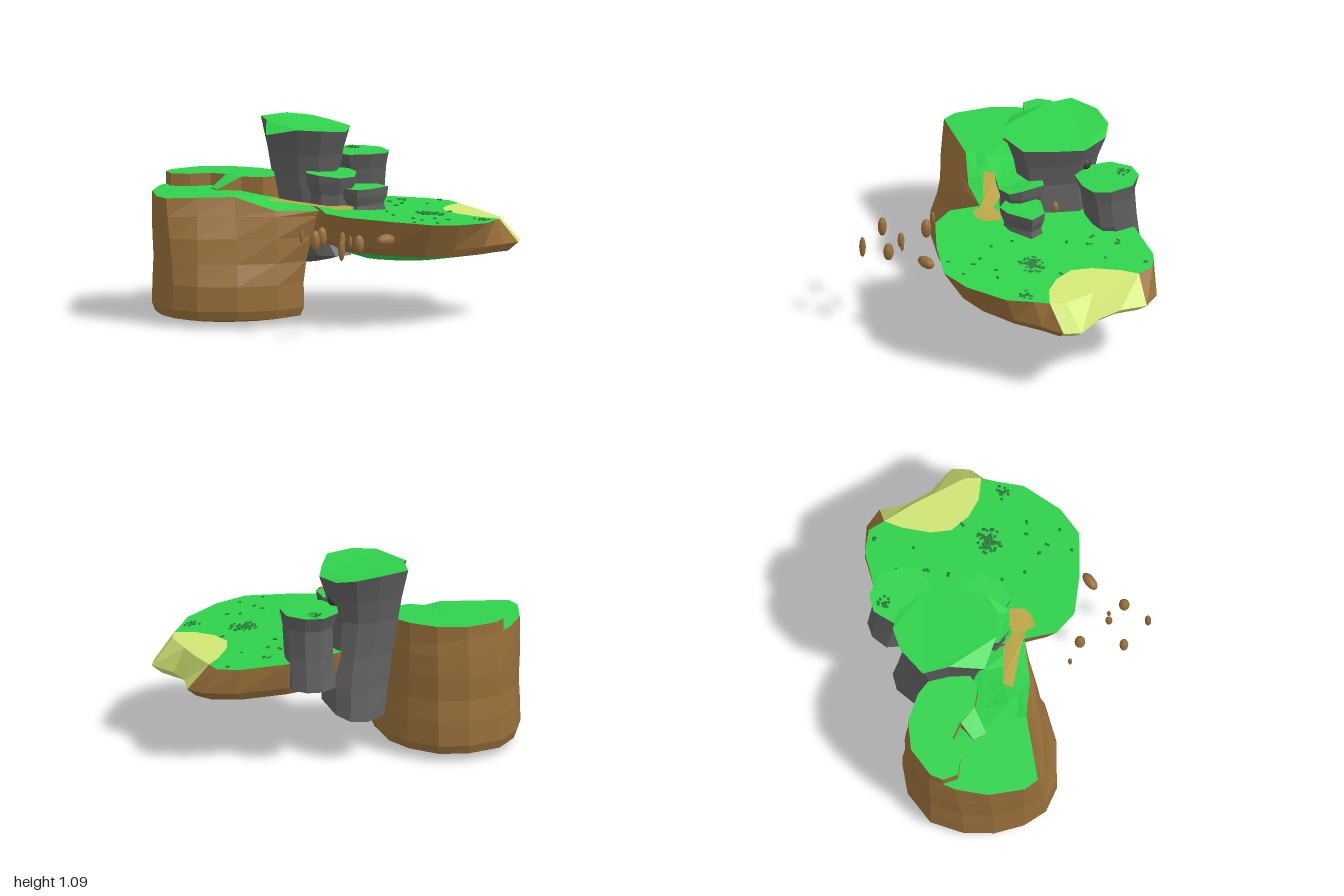
import * as THREE from 'three';
import { mergeGeometries } from 'three/addons/utils/BufferGeometryUtils.js';

const mat = (name, color) => {
  const m = new THREE.MeshStandardMaterial({ color });
  m.name = name;
  return m;
};

// Ring of [x, z] points, scaled about a centre and shifted; y is a number or a rule
const ring = (pts, y, sx = 1, sz = sx, c = [0, 0], dx = 0, dz = 0) => pts.map(([px, pz]) => {
  const x = c[0] + (px - c[0]) * sx + dx, z = c[1] + (pz - c[1]) * sz + dz;
  return new THREE.Vector3(x, typeof y === 'function' ? y(x, z) : y, z);
});

// Outline between two others
const blend = (a, b, t) => a.map(([x, z], i) => [x + (b[i][0] - x) * t, z + (b[i][1] - z) * t]);

// Faceted skin between rings, over the sides from..to
function loft(rings, from = 0, to = rings[0].length) {
  const v = [], n = rings[0].length;
  for (let j = 0; j < rings.length - 1; j++) {
    for (let i = from; i < to; i++) {
      const k = (i + 1) % n;
      const a = rings[j][i], b = rings[j][k], c = rings[j + 1][k], d = rings[j + 1][i];
      for (const p of [a, b, c, a, c, d]) v.push(p.x, p.y, p.z);
    }
  }
  const g = new THREE.BufferGeometry();
  g.setAttribute('position', new THREE.Float32BufferAttribute(v, 3));
  g.computeVertexNormals();
  return g;
}

// Flat outline laid on the height rule y(x, z)
function plate(pts, y) {
  const g = new THREE.ShapeGeometry(new THREE.Shape(pts.map(([x, z]) => new THREE.Vector2(x, -z))))
    .rotateX(-Math.PI / 2).toNonIndexed();
  const p = g.attributes.position;
  for (let i = 0; i < p.count; i++) p.setY(i, y(p.getX(i), p.getZ(i)));
  g.computeVertexNormals();
  return g;
}

export function createModel() {
  const model = new THREE.Group();
  const grass = mat('grass green', 0x30d24c), earth = mat('earth brown', 0x986f3a);
  const stone = mat('stone grey', 0x606060), beach = mat('pale green', 0xdaf07a);
  const dark = mat('dark green', 0x248038), path = mat('path tan', 0xbca648);
  const hollow = mat('dark grey', 0x3a3a3a);
  const add = (name, geo, material) => {
    const m = new THREE.Mesh(geo, material);
    m.name = name;
    model.add(m);
    return m;
  };
  const clamp = THREE.MathUtils.clamp;

  // Tall earth pillar: outlines run from the right front round the back
  const pTop = [[-0.17, 0.1], [-0.12, -0.15], [-0.15, -0.42], [-0.24, -0.6], [-0.36, -0.72], [-0.52, -0.78], [-0.7, -0.75],
    [-0.82, -0.65], [-0.93, -0.5], [-0.99, -0.3], [-0.97, -0.21], [-0.8, -0.16], [-0.6, -0.1], [-0.4, 0.02]];
  const pLow = [[-0.23, 0.04], [-0.17, -0.13], [-0.16, -0.42], [-0.22, -0.6], [-0.35, -0.76], [-0.52, -0.81], [-0.73, -0.77],
    [-0.87, -0.63], [-0.95, -0.47], [-0.98, -0.3], [-0.96, -0.15], [-0.86, -0.03], [-0.65, 0.07], [-0.42, 0.11]];
  const pc = [-0.57, -0.34];
  // Level on the left, falling towards the right and the front right corner
  const hillY = (x, z) => 0.725 - 0.075 * clamp((x + 0.5 + 1.5 * Math.max(z + 0.15, 0)) / 0.35, 0, 1);
  add('pillar', loft([
    ring(pLow, 0.005, 0, 0, pc), ring(pLow, 0.02, 0.6, 0.6, pc), ring(pLow, 0.05, 0.94, 0.94, pc),
    ring(pLow, 0.1, 0.99, 0.98, pc), ring(pLow, 0.24, 0.98, 0.98, pc), ring(blend(pLow, pTop, 0.25), 0.36, 0.97, 0.97, pc),
    ring(blend(pLow, pTop, 0.5), 0.5, 0.99, 1, pc), ring(blend(pLow, pTop, 0.8), 0.62, 1, 1.01, pc), ring(pTop, hillY),
  ]), earth);
  add('pillarGrass', loft([1, 0.75, 0.5, 0.25, 0].map((s) => ring(pTop, hillY, s, s, pc))), grass);

  // Raised ledge at the back of the pillar, with a grassy ramp up to it
  const ledge = [[-0.2, -0.3], [-0.15, -0.42], [-0.24, -0.6], [-0.36, -0.72], [-0.52, -0.78], [-0.7, -0.75], [-0.76, -0.7],
    [-0.77, -0.61], [-0.68, -0.55], [-0.56, -0.54], [-0.5, -0.47], [-0.45, -0.35], [-0.35, -0.28]];
  const ramp = [[-0.45, -0.35], [-0.5, -0.46], [-0.6, -0.43], [-0.6, -0.35]];
  const ledgeY = () => 0.795;
  const rampY = (x) => 0.73 + 0.065 * clamp((x + 0.6) / 0.1, 0, 1);
  for (const [name, pts, y] of [['ledge', ledge, ledgeY], ['ramp', ramp, rampY]]) {
    add(name, loft([ring(pts, 0.66), ring(pts, y)]), earth);
    add(name + 'Grass', plate(pts, y), grass);
  }

  // Floating platform: outlines run along the front, the beach, then the back
  const fTop = [[-0.17, 0.13], [-0.21, 0.28], [-0.15, 0.42], [0.05, 0.55], [0.28, 0.66], [0.46, 0.63], [0.68, 0.51], [0.77, 0.39],
    [0.83, 0.32], [0.87, 0.24], [0.865, 0.05], [0.86, -0.1], [0.84, -0.28],
    [0.83, -0.38], [0.72, -0.46], [0.45, -0.52], [0.15, -0.5], [-0.1, -0.35], [-0.12, -0.1]];
  const fMid = [[-0.12, 0.1], [-0.15, 0.25], [-0.08, 0.37], [0.07, 0.48], [0.28, 0.56], [0.46, 0.54], [0.68, 0.46], [0.83, 0.37],
    [0.95, 0.31], [1, 0.22], [0.93, 0.05], [0.92, -0.1], [0.96, -0.25],
    [0.9, -0.36], [0.74, -0.45], [0.45, -0.49], [0.15, -0.47], [-0.08, -0.33], [-0.1, -0.1]];
  const fc = [0.4, 0.03], B0 = 8, B1 = 12;
  const lawnY = (x) => 0.645 - 0.085 * x;
  const baseY = (x) => 0.435 - 0.055 * x;
  const base = ring(fMid, baseY, 0.9, 0.95, fc);
  const sides = [base, ring(fMid, (x) => 0.475 - 0.045 * x), ring(fTop, lawnY)];
  add('platformSide', mergeGeometries([loft(sides, 0, B0), loft(sides, B1)]), earth);
  add('beachSlope', loft(sides, B0, B1), beach);
  add('platformUnderside', loft([ring(fMid, 0.355, 0, 0, fc), ring(fMid, (x) => 0.375 - 0.02 * x, 0.55, 0.55, fc), base]), grass);
  const shore = [[0.72, 0.25], [0.65, 0.15], [0.62, 0.03], [0.66, -0.08], [0.76, -0.21]];
  add('platformGrass', plate([...fTop.slice(0, B0 + 1), ...shore, ...fTop.slice(B1)], lawnY), grass);
  add('beach', plate([...fTop.slice(B0, B1 + 1), ...[...shore].reverse()], lawnY), beach);

  // Path joining the pillar to the platform
  add('path', plate([[-0.41, -0.09], [-0.36, -0.13], [-0.16, -0.03], [-0.1, 0.06], [0.02, 0.06], [0.03, 0.12], [0, 0.18],
    [-0.05, 0.2], [-0.12, 0.19], [-0.13, 0.13], [-0.2, 0.06]],
  (x, z) => Math.max(hillY(x, z), lawnY(Math.max(x, -0.2))) + 0.012), path);

  // Stone columns: steps are [y, scale x, scale z, shift x, shift z] from the bottom up
  function column(name, pts, c, steps, topY) {
    const rings = steps.map(([y, ...s]) => ring(pts, y, s[0], s[1], c, s[2], s[3]));
    const foot = ring(pts, steps[0][0], 0, 0, c, steps[0][3], steps[0][4]);
    add(name, loft([foot, ...rings, ring(pts, topY)]), stone);
    add(name + 'Grass', plate(pts, topY), grass);
  }
  column('mainColumn', [[0.05, -0.04], [0.14, -0.2], [0.21, -0.35], [0.17, -0.52], [0.08, -0.6], [-0.06, -0.62], [-0.24, -0.57],
    [-0.27, -0.42], [-0.35, -0.24], [-0.22, -0.1], [-0.1, -0.03]], [-0.07, -0.33], [
    [(x, z) => Math.min(0.36, 0.24 + 0.3 * (z + 0.61)), 0.66, 0.95, 0.08, 0], [0.42, 0.72, 0.85, 0.06, 0], [0.6, 0.74, 0.77, 0.03, 0],
    [0.8, 0.77, 0.76, 0, 0], [0.93, 0.86, 0.84, 0, 0],
  ], (x, z) => 1.095 - 0.25 * Math.max(x, 0) - 0.07 * Math.max(z + 0.33, 0) - (x < -0.3 ? 0.05 : 0));
  column('sideColumn', [[0.45, -0.36], [0.46, -0.5], [0.38, -0.6], [0.28, -0.62], [0.17, -0.55], [0.13, -0.42], [0.18, -0.3],
    [0.3, -0.27], [0.4, -0.28]], [0.29, -0.43], [
    [(x, z) => 0.47 + 0.1 * (z + 0.45), 0.85, 0.6, 0.01, -0.08], [0.64, 0.85, 0.8, 0.01, -0.02], [0.8, 0.86, 0.84, 0.01, 0],
  ], () => 0.885);

  // Two low stone steps in front of the main column
  column('upperStep', [[0.1, 0], [0.11, -0.14], [0, -0.2], [-0.13, -0.17], [-0.18, -0.07], [-0.14, 0.02], [-0.03, 0.07], [0.06, 0.06]],
    [-0.03, -0.06], [[0.6, 0.85, 0.8, 0, 0], [0.72, 0.78, 0.78, 0, 0], [0.78, 0.95, 0.93, 0, 0]],
    (x, z) => 0.84 - 0.3 * Math.max(z, 0));
  column('lowerStep', [[0.27, 0.05], [0.25, -0.05], [0.12, -0.11], [0.01, -0.06], [0, 0.04], [0.05, 0.12], [0.13, 0.12]],
    [0.13, 0.01], [[0.6, 0.95, 0.9, 0, 0], [0.66, 0.83, 0.8, 0, 0], [0.71, 0.97, 0.95, 0, 0]], () => 0.755);

  // Small hollow in the main column
  const cave = add('hollow', new THREE.SphereGeometry(0.035, 10, 8), hollow);
  cave.position.set(0.14, 0.91, -0.4);

  // Loose stones hanging in the air, plus one by the steps: [x, y, z, rx, ry, rz]
  for (const [x, y, z, rx, ry, rz] of [
    [-0.36, 0.55, 0.29, 0.012, 0.04, 0.012], [-0.28, 0.55, 0.39, 0.03, 0.06, 0.03], [-0.41, 0.57, 0.6, 0.028, 0.06, 0.025],
    [-0.24, 0.56, 0.59, 0.02, 0.05, 0.018], [-0.2, 0.55, 0.61, 0.011, 0.035, 0.011], [-0.19, 0.55, 0.71, 0.03, 0.055, 0.03],
    [-0.33, 0.54, 0.79, 0.02, 0.065, 0.018], [0.02, 0.545, 0.6, 0.06, 0.035, 0.03], [0.12, 0.68, -0.21, 0.02, 0.035, 0.02],
  ]) {
    const s = add('looseStone', new THREE.IcosahedronGeometry(1, 1), earth);
    s.position.set(x, y, z);
    s.scale.set(rx, ry, rz);
    s.rotation.y = x * 9;
  }

  // Small flat dark plants scattered in clumps: [x, z, count, spread, ground height if not the lawn]
  let seed = 7;
  const rnd = () => (seed = (seed * 16807) % 2147483647) / 2147483647;
  const leaves = [];
  for (const [x, z, n, r, ground] of [
    [0.46, 0.19, 70, 0.09], [0.69, 0.39, 16, 0.05], [0.3, -0.54, 16, 0.05, 0.885], [0.41, -0.25, 6, 0.03], [0.53, -0.35, 6, 0.03],
    [0.46, -0.2, 3, 0.02], [0.38, -0.11, 3, 0.015], [0.77, -0.38, 4, 0.02], [0.22, 0.15, 2, 0.01], [0.27, 0.4, 2, 0.015],
    [0.3, 0.47, 2, 0.01], [0.47, 0.43, 2, 0.01], [0.35, 0.57, 2, 0.01], [0.21, 0.58, 2, 0.01], [0.2, 0.29, 2, 0.01],
    [0.62, 0.1, 2, 0.01], [0.41, 0.39, 2, 0.01], [0.62, -0.2, 1, 0.01],
  ]) {
    for (let i = 0; i < n; i++) {
      const a = rnd() * Math.PI * 2, d = r * rnd(), px = x + Math.cos(a) * d, pz = z + Math.sin(a) * d * 0.8;
      leaves.push(new THREE.OctahedronGeometry(0.011).scale(1, 0.6, 1).translate(px, (ground ?? lawnY(px)) + 0.003, pz));
    }
  }
  add('plants', mergeGeometries(leaves), dark);
  return model;
}
